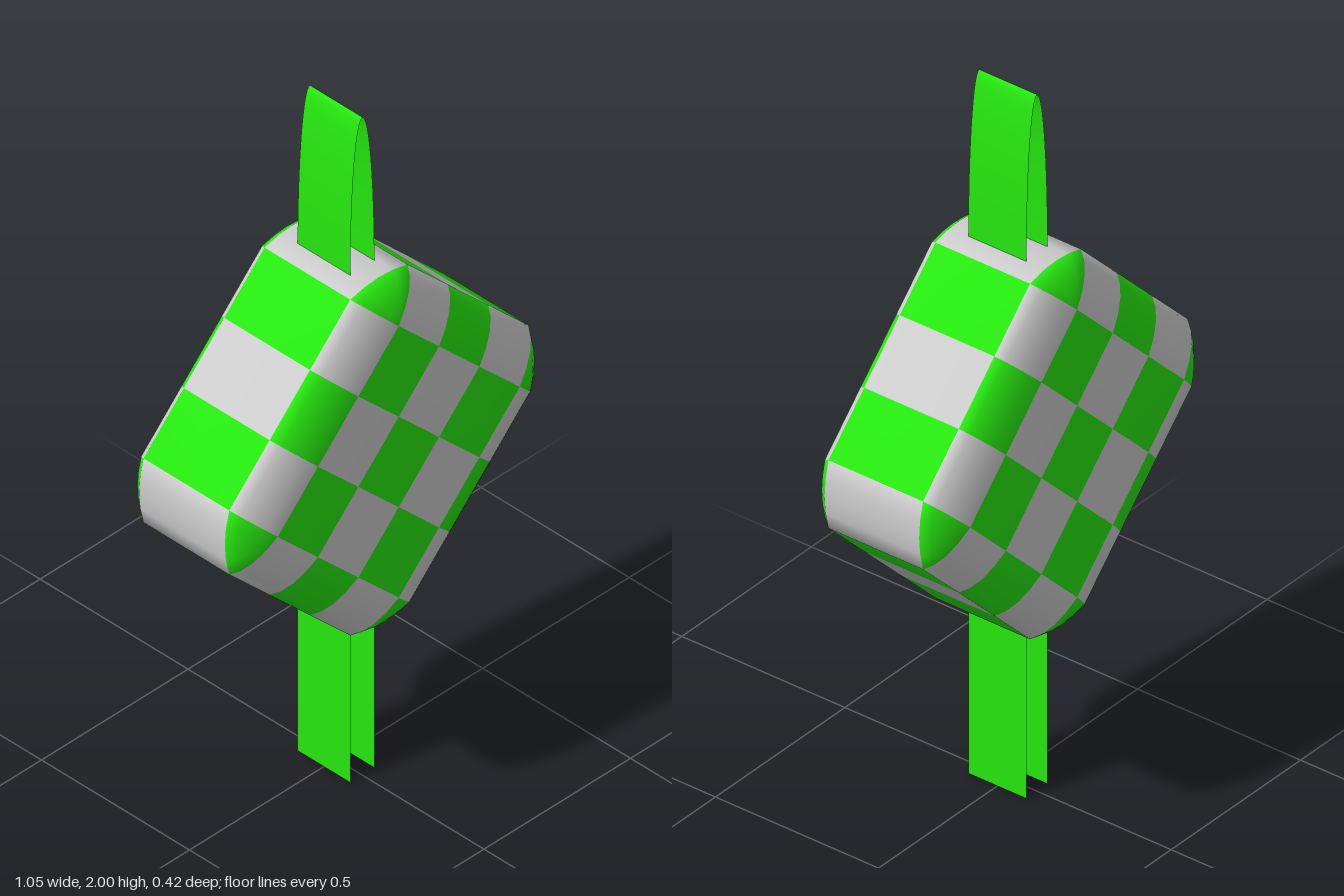
import * as THREE from 'three';
import { mergeVertices } from 'three/addons/utils/BufferGeometryUtils.js';

const CORE = 0.292;          // half size of the flat 3 x 3 cells
const CELL = CORE * 2 / 3;
const RIM = 0.138;           // how far the rounded rim reaches past the flat cells
const BAND = 0.145;          // half depth of the side band
const FRONT = 0.212;         // half depth of the whole pillow
const CENTER_Y = 1.02;

// Shallow arc from (1, 0) to (0, 1)
const arc = (t, bulge) => {
  const b = bulge * t * (1 - t);
  return [1 - t + b, t + b];
};

// Woven pillow: one smooth surface, split into two colours of cells
function createPillow(green, grey) {
  const positions = [];
  const quads = [];

  const patch = (point, nu, nv, isGreen) => {
    const start = positions.length / 3;
    for (let j = 0; j <= nv; j++) {
      for (let i = 0; i <= nu; i++) positions.push(...point(i / nu, j / nv));
    }
    for (let j = 0; j < nv; j++) {
      for (let i = 0; i < nu; i++) {
        const a = start + j * (nu + 1) + i;
        const d = a + nu + 1;
        quads.push([isGreen, a, a + 1, d + 1, a, d + 1, d]);
      }
    }
  };

  // Flat checkered faces, front and back
  for (const s of [1, -1]) {
    for (let i = 0; i < 3; i++) {
      for (let j = 0; j < 3; j++) {
        patch((u, v) => [s * (-CORE + (i + u) * CELL), -CORE + (j + v) * CELL, s * FRONT],
          1, 1, (i + j) % 2 === 0);
      }
    }
  }

  // Rim profiles from back to front, each giving [outward, z]
  const bevel = (t) => {
    const [o, z] = arc(t, 0.5);
    return [o * RIM, BAND + z * (FRONT - BAND)];
  };
  const profiles = [
    { at: (v) => { const [o, z] = bevel(1 - v); return [o, -z]; }, steps: 4, band: false },
    { at: (v) => [RIM, (2 * v - 1) * BAND], steps: 1, band: true },
    { at: bevel, steps: 4, band: false },
  ];

  // Four sides, each with three straight cells and one rounded corner
  for (let k = 0; k < 4; k++) {
    const c = Math.round(Math.cos(k * Math.PI / 2));
    const s = Math.round(Math.sin(k * Math.PI / 2));
    const turn = (x, y, z) => [c * x - s * y, s * x + c * y, z];
    for (const { at, steps, band } of profiles) {
      for (let j = 0; j < 3; j++) {
        patch((u, v) => {
          const [o, z] = at(v);
          return turn(CORE + o, -CORE + (j + u) * CELL, z);
        }, 1, steps, (j === 1) !== band);
      }
      patch((u, v) => {
        const [o, z] = at(v);
        const [x, y] = arc(u, 0.31);
        return turn(CORE + o * x, CORE + o * y, z);
      }, 4, steps, !band);
    }
  }

  // Weld, smooth, then separate by colour
  const build = (indices) => {
    const g = new THREE.BufferGeometry();
    g.setAttribute('position', new THREE.Float32BufferAttribute(positions, 3));
    g.setIndex(indices);
    return g;
  };
  const welded = mergeVertices(build(quads.flatMap((q) => q.slice(1))), 1e-4);
  welded.computeVertexNormals();

  const pillow = new THREE.Group();
  pillow.name = 'wovenPillow';
  for (const [name, material, wanted] of [['greenCells', green, true], ['greyCells', grey, false]]) {
    const index = [];
    quads.forEach((q, n) => {
      if (q[0] !== wanted) return;
      for (let t = 0; t < 2; t++) {
        const [a, b, d] = [0, 1, 2].map((m) => welded.index.getX(n * 6 + t * 3 + m));
        if (a !== b && b !== d && a !== d) index.push(a, b, d);
      }
    });
    const part = welded.clone();
    part.setIndex(index);
    const mesh = new THREE.Mesh(part.toNonIndexed(), material);
    mesh.name = name;
    pillow.add(mesh);
  }
  pillow.rotation.z = Math.PI / 4;
  pillow.position.y = CENTER_Y;
  return pillow;
}

export function createModel() {
  const model = new THREE.Group();
  model.name = 'wovenHangingOrnament';

  const green = new THREE.MeshStandardMaterial({ color: 0x26e80f });
  const grey = new THREE.MeshStandardMaterial({ color: 0xcccccc });
  const ribbon = new THREE.MeshStandardMaterial({ color: 0x26e80f, side: THREE.DoubleSide });

  model.add(createPillow(green, grey));

  // Hanging loop: a strip bent into a tall half ellipse
  const halfWidth = 0.041;
  const depth = 0.178;
  const loopBase = 1.53;
  const loop = new THREE.PlaneGeometry(1, depth, 48, 1);
  const p = loop.attributes.position;
  for (let i = 0; i < p.count; i++) {
    const a = (0.5 - p.getX(i)) * Math.PI;
    p.setXYZ(i, halfWidth * Math.cos(a), loopBase + (2 - loopBase) * Math.sin(a), -p.getY(i));
  }
  loop.computeVertexNormals();
  const loopMesh = new THREE.Mesh(loop, ribbon);
  loopMesh.name = 'hangingLoop';
  model.add(loopMesh);

  // Two ribbon tails below
  const tailTop = 0.52;
  for (const side of [1, -1]) {
    const tail = new THREE.Mesh(new THREE.PlaneGeometry(depth, tailTop), ribbon);
    tail.name = side > 0 ? 'leftTail' : 'rightTail';
    tail.position.set(side * halfWidth, tailTop / 2, 0);
    tail.rotation.y = side * Math.PI / 2;
    model.add(tail);
  }

  return model;
}
